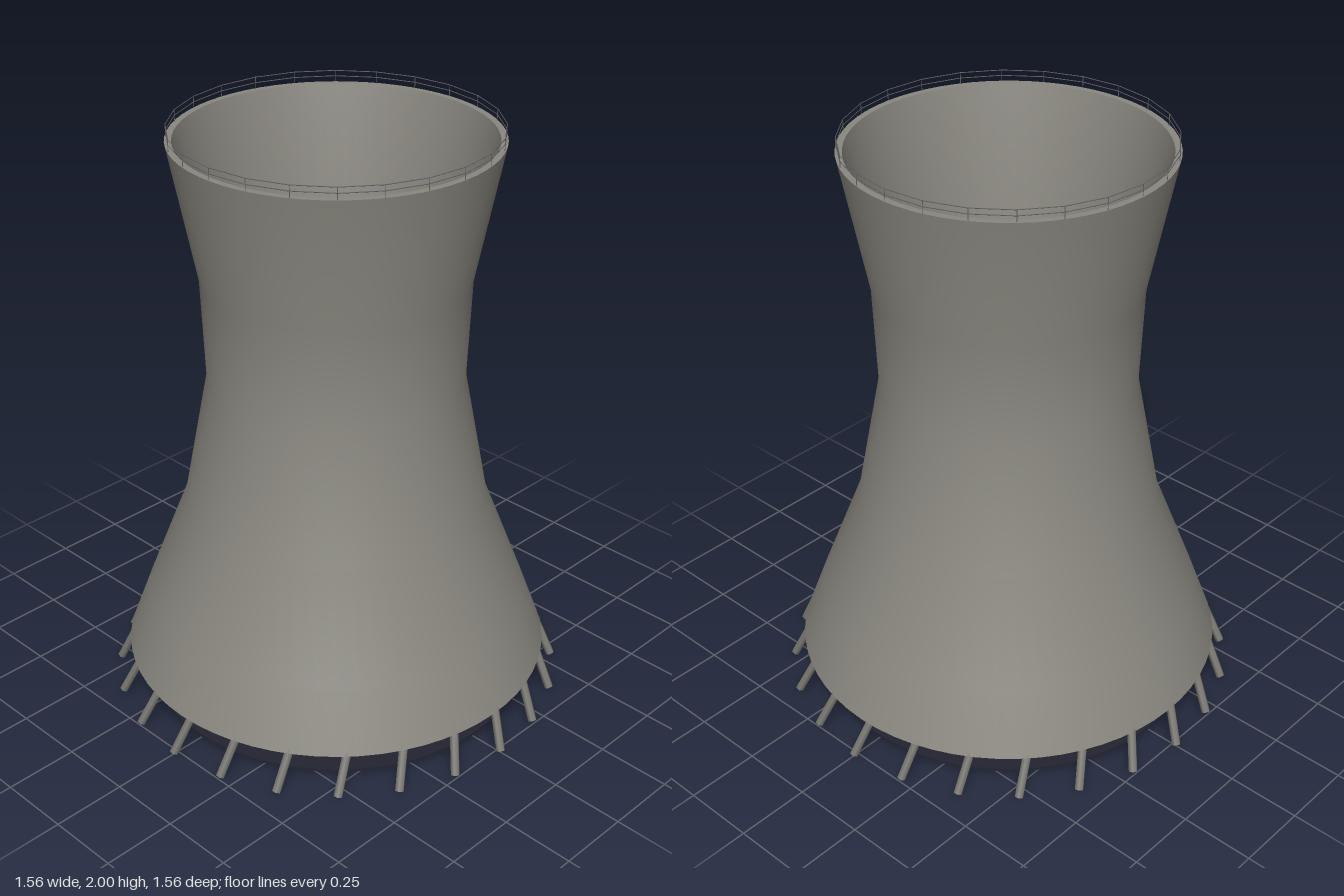
import * as THREE from 'three';

export function createModel() {
  const model = new THREE.Group();
  model.name = 'coolingTower';

  const concrete = new THREE.MeshStandardMaterial({ color: 0x8a8880 });
  concrete.name = 'concrete';
  const legConcrete = new THREE.MeshStandardMaterial({ color: 0x7c7b75 });
  legConcrete.name = 'leg concrete';
  const water = new THREE.MeshStandardMaterial({ color: 0x242432 });
  water.name = 'dark water';
  const steel = new THREE.MeshStandardMaterial({ color: 0x66666a });
  steel.name = 'railing steel';

  const add = (name, geometry, material, parent = model) => {
    const mesh = new THREE.Mesh(geometry, material);
    mesh.name = name;
    parent.add(mesh);
    return mesh;
  };
  const lathe = (points, segments = 64) =>
    new THREE.LatheGeometry(points.map(([r, y]) => new THREE.Vector2(r, y)), segments);
  const up = new THREE.Vector3(0, 1, 0);
  const strut = (name, from, to, radius, sides, material, parent) => {
    const dir = to.clone().sub(from);
    const mesh = add(name, new THREE.CylinderGeometry(radius, radius, dir.length(), sides), material, parent);
    mesh.position.copy(from).add(to).multiplyScalar(0.5);
    mesh.quaternion.setFromUnitVectors(up, dir.normalize());
    return mesh;
  };

  // Thin hollow shell: outer wall, inner wall and the two rims
  const wall = 0.02;
  const profile = [[0.726, 0.135], [0.65, 0.34], [0.51, 0.7], [0.425, 1.15], [0.438, 1.5], [0.527, 1.96]];
  const inner = profile.map(([r, y]) => [r - wall, y]).reverse();
  add('outerShell', lathe(profile), concrete);
  add('innerShell', lathe(inner), concrete);
  add('topRim', lathe([[0.527, 1.96], [0.505, 1.96]]), concrete);
  add('bottomRim', lathe([[0.706, 0.135], [0.726, 0.135]]), concrete);

  // Dark basin beneath the shell
  const basin = add('basin', new THREE.CylinderGeometry(0.655, 0.655, 0.01, 64), water);
  basin.position.y = 0.019;

  // Ring of slanted legs and the railing posts, one of each every 15 degrees
  const legs = new THREE.Group();
  legs.name = 'legs';
  const railing = new THREE.Group();
  railing.name = 'railing';
  model.add(legs, railing);
  const count = 24;
  for (let i = 0; i < count; i++) {
    const angle = (i / count) * Math.PI * 2;
    const at = (radius, y, side = 0) => new THREE.Vector3(side, y, radius).applyAxisAngle(up, angle);
    strut('leg', at(0.767, 0.007), at(0.708, 0.14, 0.03), 0.015, 6, legConcrete, legs);
    strut('railingPost', at(0.523, 1.96), at(0.523, 2), 0.0015, 4, steel, railing);
  }

  // Railing hoops
  for (const y of [1.98, 1.9985]) {
    const hoop = add('railingHoop', new THREE.TorusGeometry(0.523, 0.0015, 4, count), steel, railing);
    hoop.rotation.x = Math.PI / 2;
    hoop.position.y = y;
  }
  return model;
}
